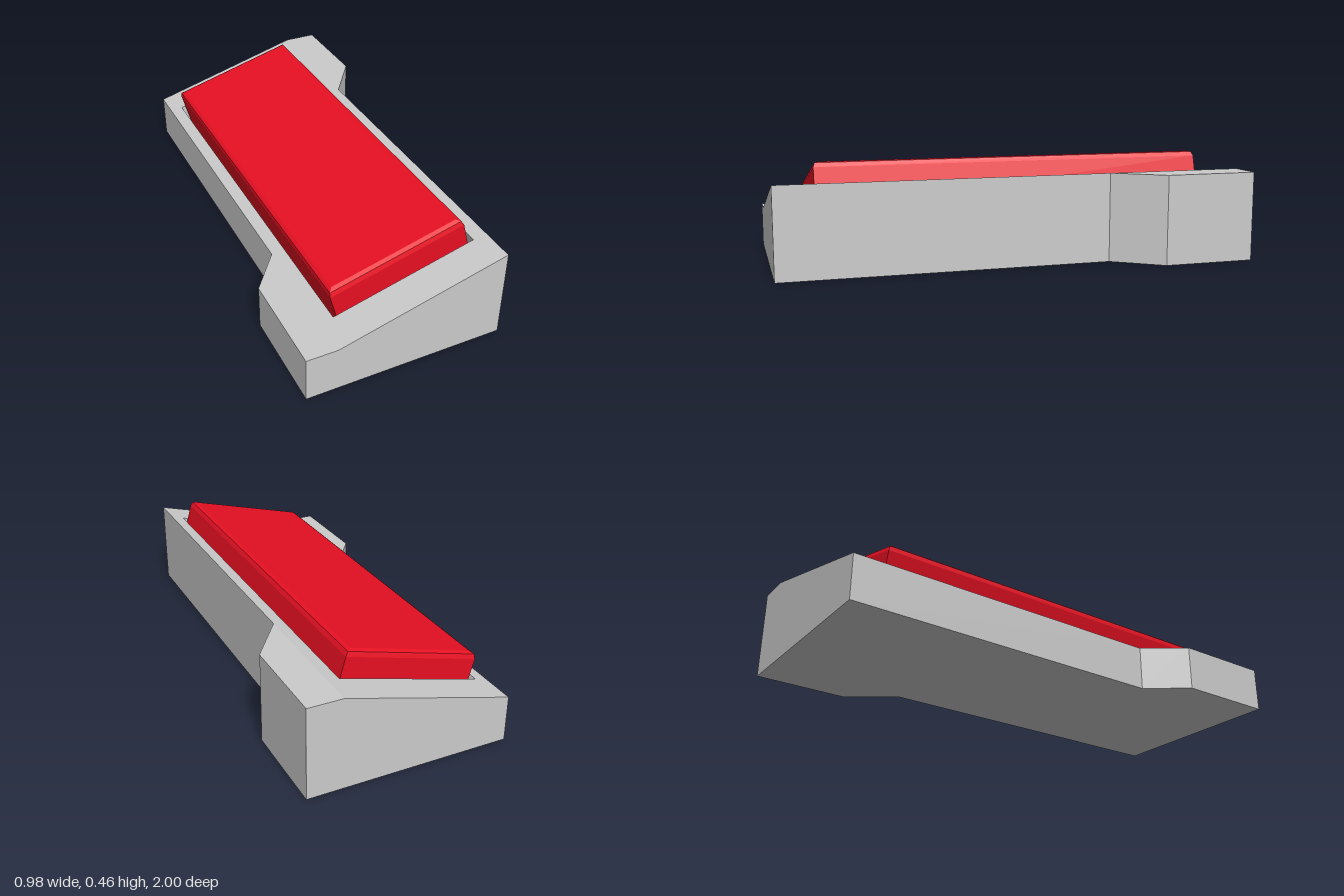
import * as THREE from 'three';
import { mergeGeometries } from 'three/addons/utils/BufferGeometryUtils.js';

const X0 = -0.36, X1 = 0.345, LOW = 0.192, HIGH = 0.382;
const TILT = Math.atan2(HIGH - LOW, X1 - X0);
const topHeight = x => LOW + (HIGH - LOW) * THREE.MathUtils.clamp((x - X0) / (X1 - X0), 0, 1);
const CX = -0.009, CZ = -0.002;       // centre of the pocket and key
const HOLE_X = 0.31, HOLE_Z = 0.853;  // pocket half sizes, along the slope
const DEPTH = 0.1;

// Rectangle ring, counter-clockwise seen from above
const rect = (hx, y, hz) => [[-hx, y, hz], [hx, y, hz], [hx, y, -hz], [-hx, y, -hz]];

// Joins rings with flat quads; optionally closes the last (four-cornered) ring
function loft(rings, cap) {
  const p = [];
  const quad = (a, b, c, d) => p.push(...a, ...b, ...c, ...a, ...c, ...d);
  for (let r = 0; r + 1 < rings.length; r++) {
    const lo = rings[r], hi = rings[r + 1];
    lo.forEach((a, i) => {
      const j = (i + 1) % lo.length;
      quad(a, lo[j], hi[j], hi[i]);
    });
  }
  if (cap) quad(...rings[rings.length - 1]);
  const g = new THREE.BufferGeometry();
  g.setAttribute('position', new THREE.Float32BufferAttribute(p, 3));
  g.computeVertexNormals();
  return g;
}

// Flat polygon from [x, z] points, facing up on the stepped top or down on the ground
function sheet(points, up, hole) {
  const vec = list => list.map(([x, z]) => new THREE.Vector2(x, up ? -z : z));
  const shape = new THREE.Shape(vec(points));
  if (hole) shape.holes.push(new THREE.Path(vec(hole)));
  const g = new THREE.ShapeGeometry(shape).toNonIndexed();
  g.rotateX(up ? -Math.PI / 2 : Math.PI / 2);
  const pos = g.attributes.position;
  if (up) for (let i = 0; i < pos.count; i++) pos.setY(i, topHeight(pos.getX(i)));
  g.deleteAttribute('uv');
  g.computeVertexNormals();
  return g;
}

export function createModel() {
  const group = new THREE.Group();
  const grey = new THREE.MeshStandardMaterial({ color: 0xcccccc, flatShading: true });
  const red = new THREE.MeshStandardMaterial({ color: 0xe81022, flatShading: true });

  // Footprint with a tab at two opposite corners, [x, z]
  const outline = [
    [-0.49, 1], [X0, 1], [X1, 1], [X1, -0.4], [0.49, -0.6],
    [0.49, -1], [X1, -1], [X0, -1], [X0, 0.4], [-0.49, 0.57],
  ];
  const walls = loft([
    outline.map(([x, z]) => [x, 0, z]),
    outline.map(([x, z]) => [x, topHeight(x), z]),
  ]);

  // Top: low ledge, slope with the pocket opening, high ledge
  const hx = HOLE_X * Math.cos(TILT);
  const opening = rect(hx, 0, HOLE_Z).map(([x, , z]) => [x + CX, z + CZ]);
  const lowTop = sheet([[-0.49, 1], [X0, 1], [X0, 0.4], [-0.49, 0.57]], true);
  const slopeTop = sheet([[X0, 1], [X1, 1], [X1, -1], [X0, -1]], true, opening);
  const highTop = sheet([[X1, -0.4], [0.49, -0.6], [0.49, -1], [X1, -1]], true);
  const underside = sheet(outline, false);

  const base = new THREE.Mesh(mergeGeometries([walls, lowTop, slopeTop, highTop, underside]), grey);
  base.name = 'wedgeBase';
  group.add(base);

  // Parts that lie square to the slope
  const tilted = new THREE.Group();
  tilted.name = 'tiltedKeyAssembly';
  tilted.position.set(CX, topHeight(CX), CZ);
  tilted.rotation.z = TILT;
  group.add(tilted);

  const pocket = new THREE.Mesh(
    loft([rect(HOLE_X, 0, HOLE_Z), rect(HOLE_X, -DEPTH, HOLE_Z)], true), grey);
  pocket.name = 'keyPocket';
  tilted.add(pocket);

  // Key with a two-step bevel around its top: [height, inset]
  const steps = [[-DEPTH, 0], [0.076, 0], [0.095, 0.006], [0.102, 0.022]];
  const key = new THREE.Mesh(
    loft(steps.map(([y, inset]) => rect(0.293 - inset, y, 0.833 - inset)), true), red);
  key.name = 'key';
  tilted.add(key);

  return group;
}
